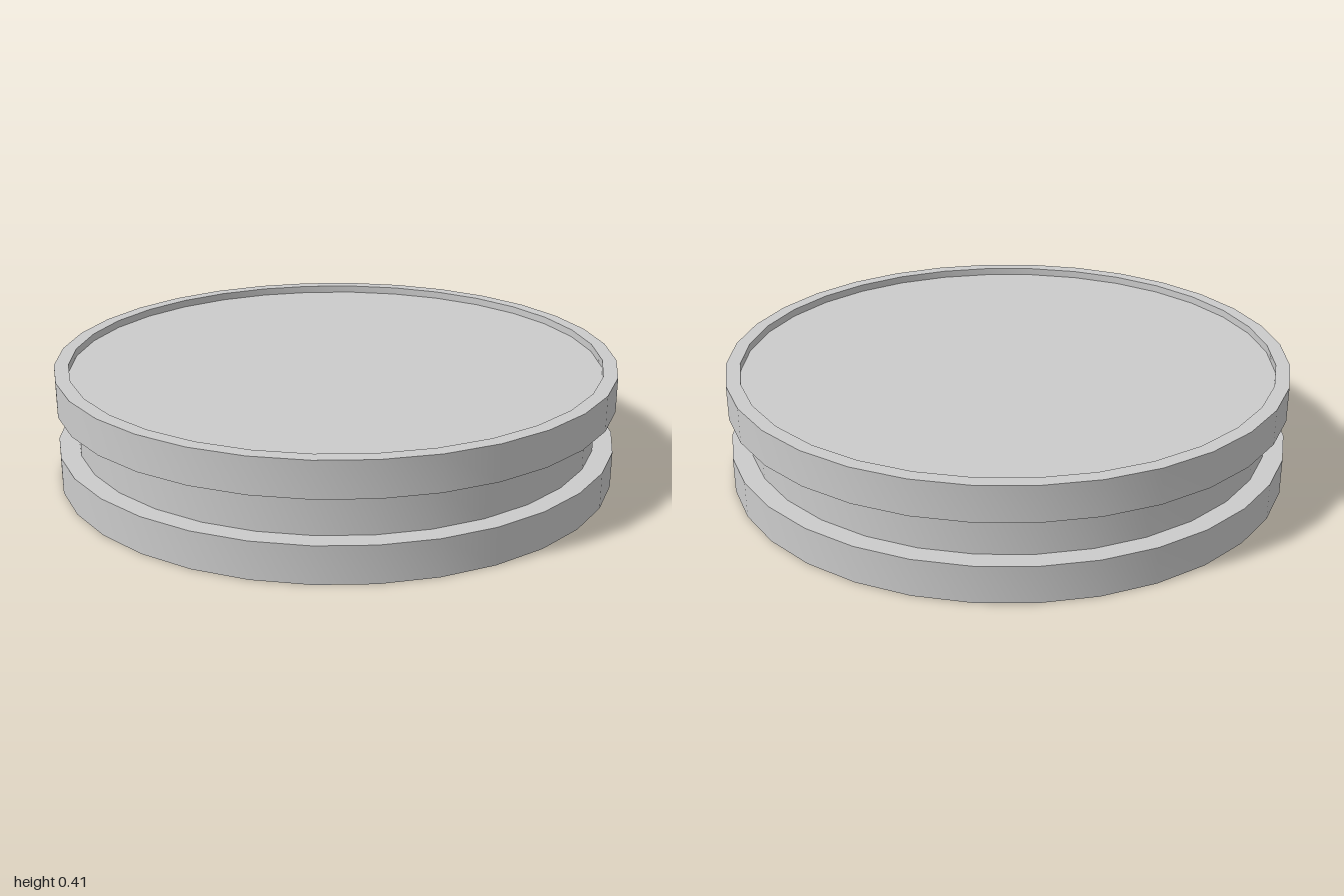
import * as THREE from 'three';
import { toCreasedNormals } from 'three/addons/utils/BufferGeometryUtils.js';

const SIDES = 32;
const RADIUS = 1, NECK_RADIUS = 0.93, PANEL_RADIUS = 0.95;
const GROOVE_BOTTOM = 0.13, GROOVE_TOP = 0.28, TOP = 0.405, PANEL_Y = 0.378;

export function createModel() {
  const group = new THREE.Group();
  group.name = 'groovedDisc';
  const material = new THREE.MeshStandardMaterial({ color: 0xcccccc });

  // Turned part: profile runs up the outside as [radius, height]
  const turn = (name, profile) => {
    const points = profile.map(([r, y]) => new THREE.Vector2(r, y));
    const geometry = toCreasedNormals(new THREE.LatheGeometry(points, SIDES), Math.PI / 6);
    const mesh = new THREE.Mesh(geometry, material);
    mesh.name = name;
    group.add(mesh);
  };

  // Lower flange with a flat underside
  turn('lowerFlange', [[0, 0], [RADIUS, 0], [RADIUS, GROOVE_BOTTOM], [NECK_RADIUS, GROOVE_BOTTOM]]);

  // Groove wall between the flanges
  turn('neck', [[NECK_RADIUS, GROOVE_BOTTOM], [NECK_RADIUS, GROOVE_TOP]]);

  // Upper flange with a raised lip
  turn('upperFlange', [
    [NECK_RADIUS, GROOVE_TOP], [RADIUS, GROOVE_TOP], [RADIUS, TOP],
    [PANEL_RADIUS, TOP], [PANEL_RADIUS, PANEL_Y],
  ]);

  // Recessed top face
  turn('topPanel', [[PANEL_RADIUS, PANEL_Y], [0, PANEL_Y]]);

  return group;
}
